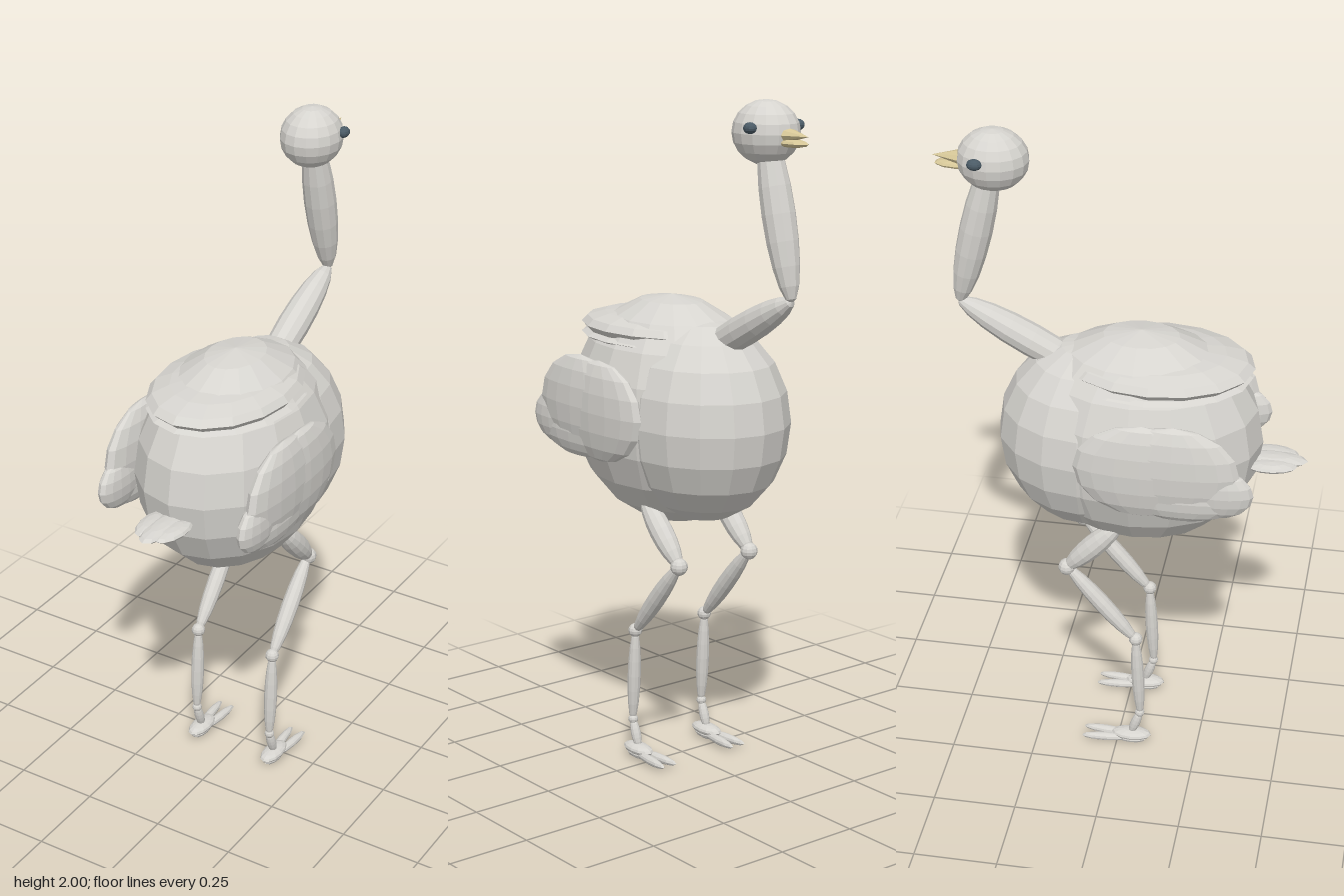
import * as THREE from 'three';

const plumage = new THREE.MeshStandardMaterial({ color: 0xd6d4cf, flatShading: true });
plumage.name = 'pale grey plumage';
const horn = new THREE.MeshStandardMaterial({ color: 0xd6c798, flatShading: true });
horn.name = 'tan beak';
const dark = new THREE.MeshStandardMaterial({ color: 0x4b5b66, flatShading: true });
dark.name = 'dark slate eye';

const UP = new THREE.Vector3(0, 1, 0);

// Faceted ellipsoid: centre and radii as [x, y, z]
function blob(parent, name, centre, radii, material = plumage, w = 16, h = 8) {
  const mesh = new THREE.Mesh(new THREE.SphereGeometry(1, w, h), material);
  mesh.name = name;
  mesh.position.set(...centre);
  mesh.scale.set(...radii);
  parent.add(mesh);
  return mesh;
}

// Spindle-shaped limb running from point a to point b
function limb(parent, name, a, b, radius) {
  const p = new THREE.Vector3(...a), q = new THREE.Vector3(...b);
  const mid = p.clone().add(q).multiplyScalar(0.5);
  const mesh = blob(parent, name, mid.toArray(), [radius, p.distanceTo(q) / 2, radius], plumage, 12, 10);
  mesh.quaternion.setFromUnitVectors(UP, q.sub(p).normalize());
  return mesh;
}

function group(parent, name) {
  const g = new THREE.Group();
  g.name = name;
  parent.add(g);
  return g;
}

export function createModel() {
  const bird = new THREE.Group();
  bird.name = 'longNeckedBird';

  // Body, fuller breast and thin layered back feathers
  blob(bird, 'body', [0, 1.07, 0.05], [0.262, 0.34, 0.36], plumage, 16, 10);
  blob(bird, 'breast', [0, 1.06, -0.1], [0.24, 0.3, 0.272], plumage, 16, 10);
  blob(bird, 'backFeathersLower', [0, 1.283, 0.09], [0.212, 0.024, 0.285]);
  blob(bird, 'backFeathersUpper', [0, 1.312, 0.1], [0.205, 0.05, 0.28]);

  // Bent neck
  limb(bird, 'neckLower', [0, 1.23, -0.06], [0, 1.46, -0.485], 0.048);
  limb(bird, 'neckUpper', [0, 1.45, -0.48], [0, 1.93, -0.365], 0.048);

  // Head with a pointed upper beak over a rounded lower one
  const head = group(bird, 'head');
  blob(head, 'skull', [0, 1.91, -0.367], [0.09, 0.09, 0.102], plumage, 16, 10);
  const cone = new THREE.ConeGeometry(1, 1, 8).rotateX(-Math.PI / 2);
  const beakUpper = new THREE.Mesh(cone, horn);
  beakUpper.name = 'beakUpper';
  beakUpper.position.set(0, 1.909, -0.49);
  beakUpper.scale.set(0.038, 0.024, 0.1);
  head.add(beakUpper);
  blob(head, 'beakLower', [0, 1.888, -0.47], [0.029, 0.012, 0.065], horn, 10, 6);

  // Tail fan of three flat feathers
  const tail = group(bird, 'tail');
  blob(tail, 'tailFeatherMiddle', [0, 1.015, 0.44], [0.04, 0.015, 0.103], plumage, 12, 6);

  for (const s of [1, -1]) {
    const side = s > 0 ? 'left' : 'right';
    blob(head, side + 'Eye', [s * 0.086, 1.928, -0.4], [0.017, 0.016, 0.022], dark, 10, 8);

    const feather = blob(tail, side + 'TailFeather', [s * 0.037, 1.013, 0.44], [0.037, 0.014, 0.075], plumage, 12, 6);
    feather.rotation.y = -s * 0.1;

    // Folded wing built from overlapping feather lobes
    const wing = group(bird, side + 'Wing');
    blob(wing, 'wingShoulder', [s * 0.237, 1.083, 0.09], [0.041, 0.15, 0.2]);
    blob(wing, 'wingMiddle', [s * 0.237, 1.09, 0.18], [0.042, 0.148, 0.19]);
    blob(wing, 'wingLower', [s * 0.235, 1.005, 0.2], [0.036, 0.075, 0.17]);
    blob(wing, 'wingTip', [s * 0.233, 1.03, 0.305], [0.034, 0.08, 0.106]);

    // Leg segments and ball joints
    const leg = group(bird, side + 'Leg');
    const x = s * 0.133;
    limb(leg, 'thigh', [x, 0.825, 0.015], [x, 0.645, -0.155], 0.035);
    blob(leg, 'knee', [x, 0.648, -0.152], [0.026, 0.026, 0.026], plumage, 10, 8);
    limb(leg, 'shin', [x, 0.655, -0.155], [x, 0.395, 0.062], 0.026);
    blob(leg, 'ankle', [x, 0.402, 0.058], [0.021, 0.021, 0.021], plumage, 10, 8);
    limb(leg, 'lowerLeg', [x, 0.41, 0.057], [x, 0.105, 0.073], 0.02);
    blob(leg, 'footJoint', [x, 0.117, 0.071], [0.015, 0.015, 0.015], plumage, 10, 8);
    limb(leg, 'footStem', [x, 0.12, 0.073], [x, 0.03, 0.043], 0.015);

    // Foot pad and two forward toes
    blob(leg, 'footPad', [x, 0.03, 0.045], [0.031, 0.017, 0.062], plumage, 12, 8);
    for (const t of [1, -1]) {
      const toe = blob(leg, t > 0 ? 'leftToe' : 'rightToe', [x + t * 0.017, 0.019, -0.035],
        [0.014, 0.013, 0.075], plumage, 10, 6);
      toe.rotation.y = -t * 0.08;
    }
    blob(leg, 'heelPad', [x, 0.016, 0.045], [0.024, 0.016, 0.05], plumage, 12, 6);
  }
  return bird;
}
